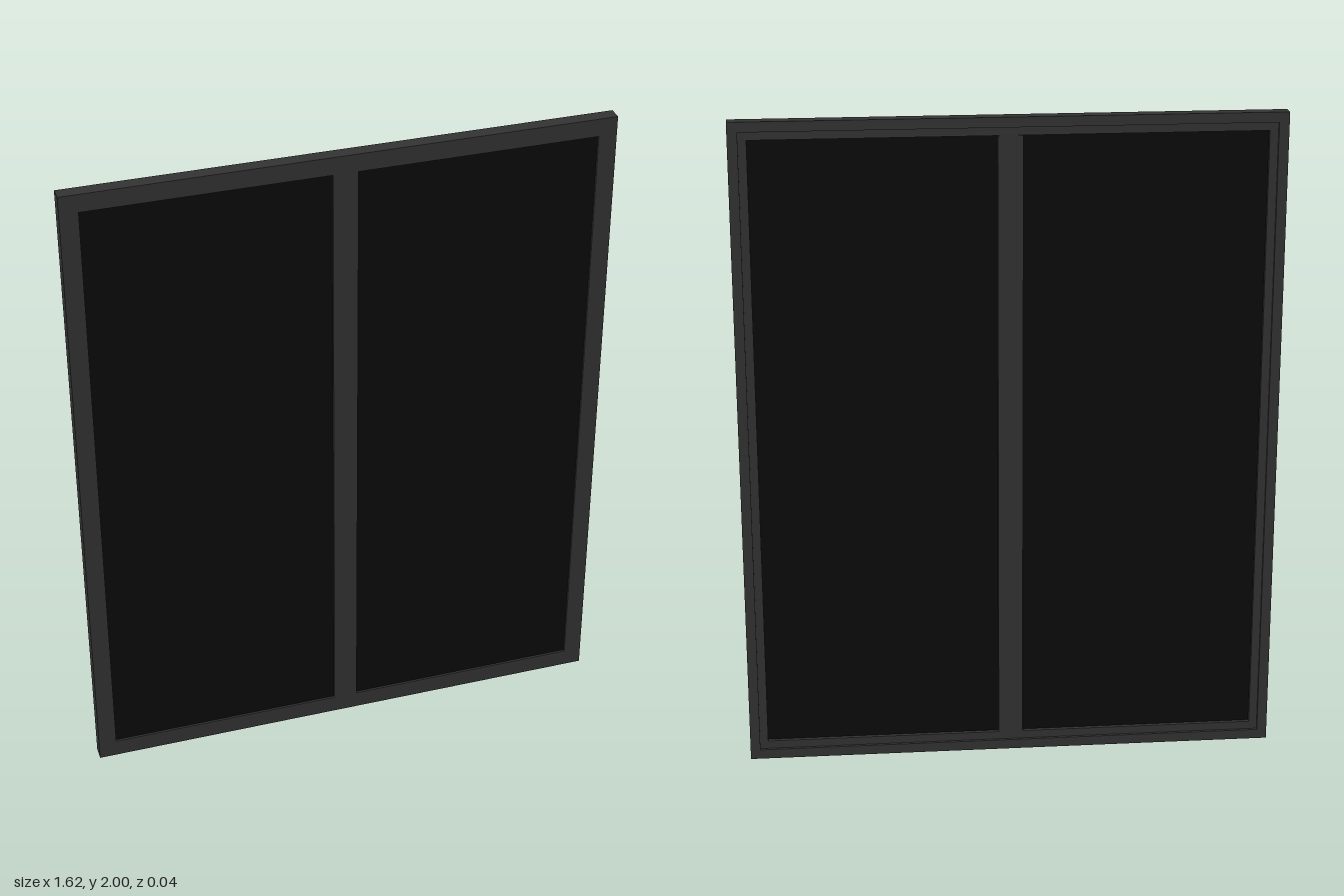
import * as THREE from 'three';

const W = 1.62, H = 2, D = 0.042;      // overall size
const BORDER = 0.055, RIM = 0.03;      // visible border, full-depth outer rim
const MULLION = 0.074;

function rect(path, x0, y0, x1, y1) {
  path.moveTo(x0, y0);
  path.lineTo(x1, y0);
  path.lineTo(x1, y1);
  path.lineTo(x0, y1);
  path.closePath();
  return path;
}

// Rectangular ring inset from the outer edge, spanning z0 to z1
function ring(name, outer, inner, z0, z1, material) {
  const shape = rect(new THREE.Shape(), -W / 2 + outer, outer, W / 2 - outer, H - outer);
  shape.holes.push(rect(new THREE.Path(), -W / 2 + inner, inner, W / 2 - inner, H - inner));
  const geo = new THREE.ExtrudeGeometry(shape, { depth: z1 - z0, bevelEnabled: false });
  const mesh = new THREE.Mesh(geo, material);
  mesh.position.z = z0;
  mesh.name = name;
  return mesh;
}

function box(name, w, h, z0, z1, x, material) {
  const mesh = new THREE.Mesh(new THREE.BoxGeometry(w, h, z1 - z0), material);
  mesh.position.set(x, H / 2, (z0 + z1) / 2);
  mesh.name = name;
  return mesh;
}

export function createModel() {
  const group = new THREE.Group();
  group.name = 'window';
  const frameMat = new THREE.MeshStandardMaterial({ color: 0x333333 });
  const glassMat = new THREE.MeshStandardMaterial({ color: 0x0a0a0a });

  // Outer rim, then the inner frame stepped back on the rear side
  group.add(ring('outerFrame', 0, RIM, -D / 2, D / 2, frameMat));
  group.add(ring('innerFrame', RIM, BORDER, -0.012, D / 2, frameMat));

  // Centre post between the panes
  group.add(box('mullion', MULLION, H - 2 * BORDER, -0.014, D / 2, 0, frameMat));

  // Two dark panes
  const paneW = W / 2 - BORDER - MULLION / 2;
  for (const side of [-1, 1]) {
    const x = side * (MULLION / 2 + paneW / 2);
    group.add(box(side > 0 ? 'leftPane' : 'rightPane', paneW, H - 2 * BORDER, 0, 0.014, x, glassMat));
  }
  return group;
}
